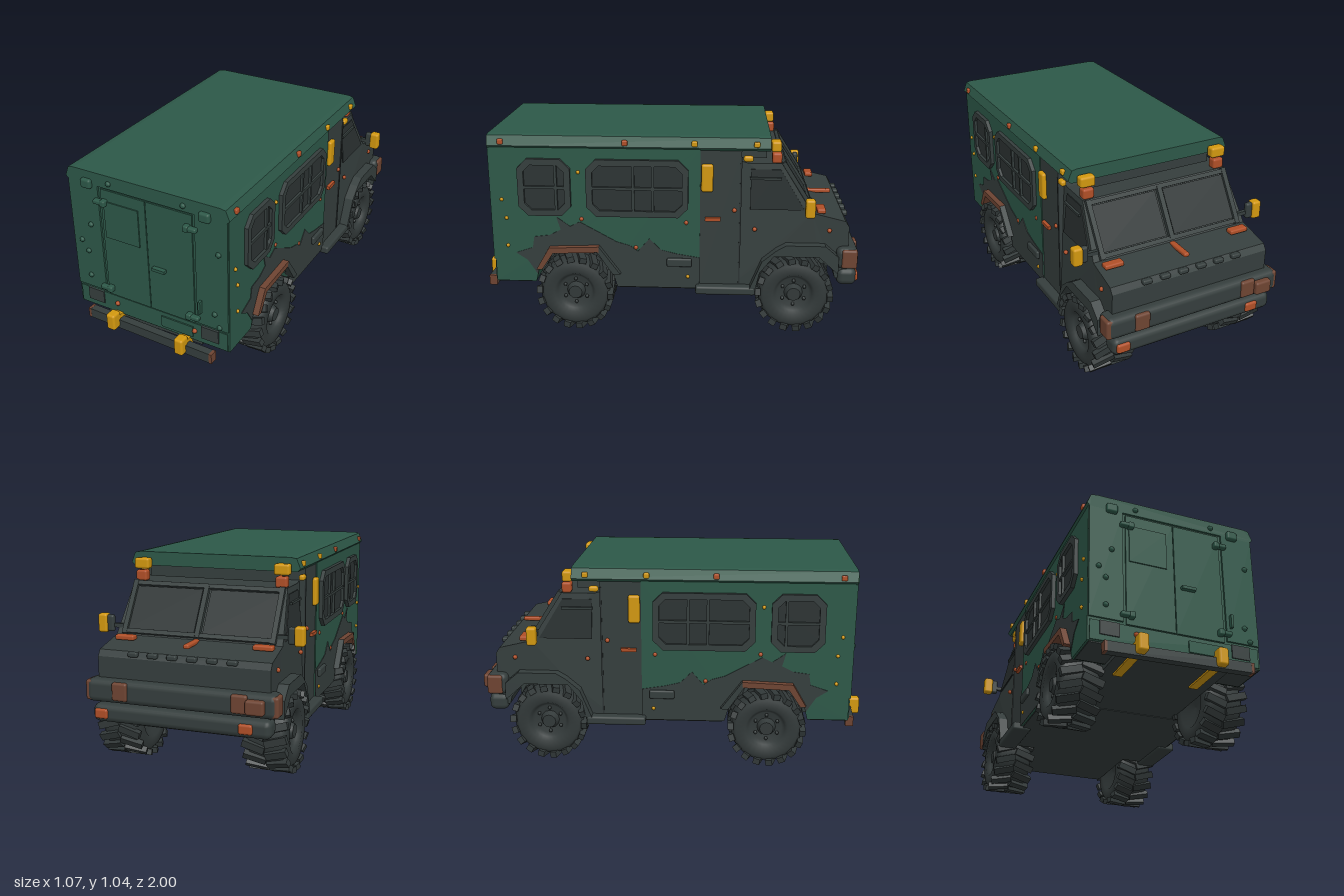
import * as THREE from 'three';
import { RoundedBoxGeometry } from 'three/addons/geometries/RoundedBoxGeometry.js';

const mat = (name, color, side = THREE.FrontSide) => {
  const m = new THREE.MeshStandardMaterial({ color, side });
  m.name = name;
  return m;
};

export function createModel() {
  const root = new THREE.Group();
  root.name = 'armouredTruck';
  const green = mat('green paint', 0x2d5848);
  const grey = mat('dark grey metal', 0x353e3d);
  const glass = mat('dark glass', 0x2c3333);
  const rubber = mat('rubber', 0x323939);
  const yellow = mat('yellow paint', 0xd2980f);
  const orange = mat('orange rust', 0xb04f27);
  const brown = mat('brown rust', 0x6e4432);

  const add = (name, geo, m, x = 0, y = 0, z = 0, parent = root) => {
    const mesh = new THREE.Mesh(geo, m);
    mesh.name = name;
    mesh.position.set(x, y, z);
    parent.add(mesh);
    return mesh;
  };
  const box = (name, m, w, h, d, x, y, z, parent) =>
    add(name, new THREE.BoxGeometry(w, h, d), m, x, y, z, parent);
  const soft = (name, m, w, h, d, x, y, z, r = 0.012) =>
    add(name, new RoundedBoxGeometry(w, h, d, 2, r), m, x, y, z);
  const shapeOf = (pts, hole) => {
    const s = new THREE.Shape(pts.map(p => new THREE.Vector2(...p)));
    if (hole) s.holes.push(new THREE.Path(hole.map(p => new THREE.Vector2(...p))));
    return s;
  };
  // Side outline in (z, y), extruded from x0 to x1
  const prism = (pts, x0, x1, hole) =>
    new THREE.ExtrudeGeometry(shapeOf(pts, hole), { depth: x1 - x0, bevelEnabled: false })
      .rotateY(-Math.PI / 2).translate(x1, 0, 0);
  const sidePrism = (name, m, pts, x0, x1, s, hole) =>
    add(name, s > 0 ? prism(pts, x0, x1, hole) : prism(pts, -x1, -x0, hole), m);
  const octagon = (z0, z1, y0, y1, c) => [[z0 + c, y0], [z1 - c, y0], [z1, y0 + c], [z1, y1 - c],
    [z1 - c, y1], [z0 + c, y1], [z0, y1 - c], [z0, y0 + c]];

  // Cargo box and roof
  add('cargoBody', prism([[0.91, 0.25], [0.91, 0.98], [-0.16, 0.98], [-0.16, 0.23], [0.27, 0.23],
    [0.3, 0.33], [0.38, 0.43], [0.6, 0.43], [0.68, 0.33], [0.7, 0.25]], -0.44, 0.44), green);
  add('roof', new THREE.ExtrudeGeometry(shapeOf([[-0.435, 0.97], [0.435, 0.97], [0.45, 0.985],
    [0.43, 1.035], [0.4, 1.04], [-0.4, 1.04], [-0.43, 1.035], [-0.45, 0.985]]),
  { depth: 1.43, bevelEnabled: false }).translate(0, 0, -0.51), green);
  box('chassis', grey, 0.56, 0.23, 1.74, 0, 0.34, 0.03);
  box('undersideMiddle', grey, 0.86, 0.02, 0.68, 0, 0.232, -0.08);
  box('undersideRear', grey, 0.86, 0.01, 0.19, 0, 0.249, 0.81);

  // Cab: door column and tapered nose
  box('cabDoorColumn', grey, 0.87, 0.74, 0.21, 0, 0.6, -0.262);
  const cab = prism([[-0.3, 0.23], [-0.3, 0.93], [-0.4, 0.9], [-0.57, 0.9], [-0.73, 0.65], [-0.9, 0.61],
    [-0.92, 0.58], [-0.92, 0.3], [-0.86, 0.3], [-0.85, 0.34], [-0.77, 0.43], [-0.54, 0.43],
    [-0.46, 0.34], [-0.43, 0.23]], -0.435, 0.435);
  const p = cab.attributes.position;
  for (let i = 0; i < p.count; i++) p.setX(i, p.getX(i) * (1 - 0.25 * Math.max(0, p.getY(i) - 0.62)));
  cab.computeVertexNormals();
  add('cabNose', cab, grey);
  box('cabTopFiller', grey, 0.7, 0.06, 0.15, 0, 0.945, -0.42);

  // Split windshield lying on the slope of the cab
  const screen = new THREE.Group();
  screen.name = 'windshield';
  screen.position.set(0, 0.775, -0.65);
  screen.rotation.x = -Math.PI / 2 + Math.atan2(0.25, 0.16);
  root.add(screen);
  for (const s of [-1, 1]) {
    box('windshieldPane', glass, 0.35, 0.008, 0.23, s * 0.197, 0.003, 0, screen);
    box('windshieldPost', grey, 0.025, 0.03, 0.29, s * 0.385, 0.005, 0, screen);
    box('windshieldRail', grey, 0.79, 0.026, 0.022, 0, 0.005, s * 0.13, screen);
  }
  box('windshieldBar', grey, 0.025, 0.03, 0.27, 0, 0.006, 0, screen);
  screen.rotation.x = Math.atan2(0.25, 0.16) - Math.PI;
  screen.scale.y = -1;
  screen.scale.x = -1;
  // Slope frame: local y points out of the glass, local z runs down it
  screen.scale.set(1, 1, 1);
  screen.quaternion.setFromRotationMatrix(new THREE.Matrix4().makeBasis(
    new THREE.Vector3(-1, 0, 0),
    new THREE.Vector3(0, 0.16, -0.25).normalize(),
    new THREE.Vector3(0, -0.25, -0.16).normalize()));

  // Tyre profile and wheels
  const tyre = new THREE.LatheGeometry([[0.0, -0.07], [0.09, -0.08], [0.11, -0.1], [0.16, -0.1],
    [0.182, -0.08], [0.186, 0], [0.182, 0.08], [0.16, 0.1], [0.11, 0.1], [0.095, 0.08], [0.08, 0.06], [0.0, 0.06]]
    .map(q => new THREE.Vector2(...q)), 32).rotateZ(-Math.PI / 2);
  const wheel = (s, y, z) => {
    const g = new THREE.Group();
    g.name = 'wheel';
    g.position.set(s * 0.378, y, z);
    if (s < 0) g.rotation.y = Math.PI;
    root.add(g);
    add('tyre', tyre, rubber, 0, 0, 0, g);
    add('hubCap', new THREE.CylinderGeometry(0.035, 0.05, 0.035, 12).rotateZ(-Math.PI / 2), rubber, 0.075, 0, 0, g);
    for (let i = 0; i < 36; i++) {
      const a = i * Math.PI / 18, side = i % 2 ? 1 : -1;
      const lug = add('treadLug', new THREE.BoxGeometry(0.112, 0.03, 0.036), rubber,
        side * 0.055, Math.cos(a) * 0.186, Math.sin(a) * 0.186, g);
      lug.rotation.set(a, side * 0.3, 0, 'XYZ');
    }
    for (let i = 0; i < 6; i++) {
      const a = i * Math.PI / 3;
      add('wheelNut', new THREE.SphereGeometry(0.01, 6, 4), rubber, 0.064, Math.cos(a) * 0.065, Math.sin(a) * 0.065, g);
    }
  };

  const bolt = (name, m, x, y, z, r = 0.012) =>
    add(name, new THREE.SphereGeometry(r, 8, 6), m, x, y, z);

  for (const s of [-1, 1]) {
    wheel(s, 0.204, 0.49);
    wheel(s, 0.218, -0.65);

    // Worn grey paint along the lower side
    sidePrism('lowerPaint', grey, [[0.8, 0.41], [0.71, 0.44], [0.7, 0.5], [0.62, 0.51], [0.56, 0.54], [0.58, 0.61],
      [0.51, 0.56], [0.46, 0.585], [0.36, 0.53], [0.27, 0.48], [0.2, 0.46], [0.16, 0.43], [0.1, 0.5], [0.04, 0.44],
      [-0.04, 0.42], [-0.16, 0.4], [-0.16, 0.23], [0.27, 0.23], [0.3, 0.33], [0.38, 0.43], [0.6, 0.43],
      [0.68, 0.33], [0.69, 0.29], [0.74, 0.37]], 0.437, 0.443, s);
    // Wheel arches
    sidePrism('rearArchRust', brown, [[0.69, 0.33], [0.62, 0.45], [0.36, 0.46], [0.36, 0.43], [0.6, 0.42], [0.66, 0.33]], 0.43, 0.475, s);
    sidePrism('rearArch', grey, [[0.36, 0.46], [0.25, 0.31], [0.29, 0.31], [0.37, 0.43]], 0.43, 0.475, s);
    sidePrism('frontFender', grey, [[-0.42, 0.25], [-0.48, 0.4], [-0.55, 0.46], [-0.6, 0.49], [-0.8, 0.49], [-0.87, 0.43],
      [-0.87, 0.34], [-0.77, 0.43], [-0.54, 0.43], [-0.47, 0.34], [-0.45, 0.25]], 0.39, 0.485, s);
    soft('runningBoard', grey, 0.1, 0.045, 0.31, s * 0.433, 0.232, -0.295);

    // Side windows with frames and bars
    for (const [z0, z1, bars] of [[0.5, 0.77, [0.575]], [-0.1, 0.42, [0.08, 0.18]]]) {
      sidePrism('sideWindowFrame', grey, octagon(z0, z1, 0.62, 0.92, 0.05), 0.435, 0.46, s,
        octagon(z0 + 0.032, z1 - 0.032, 0.652, 0.888, 0.035));
      sidePrism('sideWindowPane', glass, octagon(z0 + 0.02, z1 - 0.02, 0.64, 0.9, 0.035), 0.437, 0.445, s);
      for (const z of bars) box('windowBar', grey, 0.016, 0.24, 0.014, s * 0.45, 0.77, z);
      box('windowCrossBar', grey, 0.016, 0.014, z1 - z0 - 0.06, s * 0.45, 0.77, (z0 + z1) / 2);
    }

    // Cab side window follows the taper of the cab
    const win = sidePrism('cabSideWindow', glass, [[-0.415, 0.665], [-0.415, 0.87], [-0.565, 0.87], [-0.69, 0.665]], 0.433, 0.44, s);
    const wp = win.geometry.attributes.position;
    for (let i = 0; i < wp.count; i++) wp.setX(i, wp.getX(i) * (1 - 0.25 * (wp.getY(i) - 0.62)));
    box('cabWindowBar', grey, 0.02, 0.012, 0.16, s * 0.418, 0.825, -0.49);
    box('doorSeam', glass, 0.006, 0.68, 0.008, s * 0.436, 0.6, -0.365);
    box('doorHandle', orange, 0.02, 0.018, 0.08, s * 0.442, 0.613, -0.225);
    soft('lowerSideHandle', grey, 0.02, 0.045, 0.13, s * 0.45, 0.375, -0.055, 0.008);

    // Mirrors, lamps and yellow fittings
    box('mirrorArm', grey, 0.1, 0.02, 0.02, s * 0.44, 0.69, -0.705);
    soft('mirrorBack', grey, 0.04, 0.085, 0.03, s * 0.472, 0.7, -0.71);
    soft('mirrorHousing', yellow, 0.05, 0.095, 0.05, s * 0.51, 0.7, -0.71);
    soft('sideVent', yellow, 0.03, 0.145, 0.06, s * 0.442, 0.83, -0.195);
    soft('beaconTop', yellow, 0.08, 0.055, 0.05, s * 0.37, 0.985, -0.54);
    soft('beaconBase', orange, 0.06, 0.055, 0.05, s * 0.37, 0.925, -0.545);
    soft('roofLamp', yellow, 0.03, 0.03, 0.05, s * 0.43, 0.93, -0.4);
    soft('hoodLatch', orange, 0.1, 0.025, 0.045, s * 0.355, 0.65, -0.78, 0.008);
    soft('bumperCorner', brown, 0.07, 0.1, 0.08, s * 0.45, 0.42, -0.925);
    soft('bumperClamp', brown, 0.08, 0.09, 0.03, s * 0.3, 0.425, -0.965);

    // Side bolts and roof marker lamps
    for (const [z, y] of [[0.86, 0.7], [0.84, 0.6], [0.46, 0.85], [-0.1, 0.295], [0.84, 0.45]]) bolt('yellowBolt', yellow, s * 0.443, y, z, 0.01);
    for (const [z, y] of [[-0.09, 0.59], [0.17, 0.45], [0.45, 0.6], [-0.335, 0.66], [-0.44, 0.56], [-0.82, 0.56]]) bolt('rustyBolt', orange, s * 0.437, y, z, 0.012);
    for (const [z, m] of [[0.85, orange], [0.22, orange], [-0.13, yellow], [-0.44, yellow]]) soft('roofMarker', m, 0.02, 0.028, 0.03, s * 0.445, 1.005, z, 0.007);

    // Rear door hinges, corner brackets and lamps
    for (const y of [0.895, 0.403]) {
      soft('doorHinge', green, 0.07, 0.024, 0.03, s * 0.25, y, 0.93, 0.008);
      soft('hingeBarrel', green, 0.03, 0.034, 0.035, s * 0.23, y, 0.93, 0.008);
    }
    soft('roofBracket', green, 0.058, 0.05, 0.04, s * 0.325, 0.975, 0.92);
    box('rearLamp', grey, 0.095, 0.07, 0.02, s * 0.335, 0.32, 0.912);
    box('rearCornerPost', green, 0.17, 0.6, 0.012, s * 0.352, 0.67, 0.914);

    // Yellow tow beams and hooks
    box('towBeam', yellow, 0.045, 0.05, 0.28, s * 0.2, 0.24, 0.81);
    soft('towHook', yellow, 0.05, 0.09, 0.06, s * 0.2, 0.245, 0.97);
  }

  // Rear doors
  box('rearDoorLeft', green, 0.25, 0.6, 0.012, -0.127, 0.66, 0.912);
  box('rearDoorRight', green, 0.25, 0.6, 0.012, 0.127, 0.66, 0.912);
  box('rearDoorWindow', green, 0.195, 0.2, 0.008, -0.138, 0.8, 0.92);
  box('rearDoorHandle', green, 0.072, 0.016, 0.03, 0.067, 0.61, 0.925);
  box('rearDoorLever', green, 0.012, 0.07, 0.03, 0.29, 0.475, 0.925);
  box('rearSill', green, 0.86, 0.1, 0.01, 0, 0.305, 0.911);
  box('rearPlate', green, 0.18, 0.06, 0.008, 0.15, 0.303, 0.919);
  for (const [x, y] of [[-0.325, 0.745], [-0.39, 0.64], [-0.355, 0.585], [-0.355, 0.44], [0.39, 0.795], [0.365, 0.455],
    [0.39, 0.385], [-0.2, 1.0], [0.21, 1.0]]) bolt('rearBolt', green, x, y, 0.92, 0.014);
  for (const x of [-0.205, 0.25]) bolt('rearRustBolt', orange, x, 0.313, 0.92, 0.013);

  // Slightly bent rear bumper bar with rusty ends
  const rear = new THREE.Group();
  rear.name = 'rearBumper';
  rear.position.set(0, 0.219, 0.94);
  rear.rotation.set(0, -0.03, 0.008);
  root.add(rear);
  box('rearBumperBar', grey, 0.72, 0.052, 0.04, 0, 0, 0, rear);
  for (const s of [-1, 1]) box('rearBumperEnd', brown, 0.015, 0.053, 0.041, s * 0.365, 0, 0, rear);

  // Nose bumper bars, grille tabs and rust patches
  soft('upperBumper', grey, 0.96, 0.115, 0.11, 0, 0.42, -0.915, 0.03);
  soft('lowerBumper', grey, 0.9, 0.09, 0.1, 0, 0.31, -0.92, 0.03);
  for (let i = 0; i < 6; i++) soft('grilleTab', grey, 0.05, 0.025, 0.03, -0.25 + i * 0.1, 0.6, -0.915, 0.008);
  soft('hoodStrip', orange, 0.03, 0.022, 0.14, 0, 0.645, -0.8, 0.008);
  soft('bumperRustPlate', brown, 0.09, 0.07, 0.04, -0.38, 0.42, -0.98);
  for (const x of [-0.33, 0.4]) soft('lowerBumperRust', orange, 0.07, 0.05, 0.03, x, 0.31, -0.965);
  return root;
}
